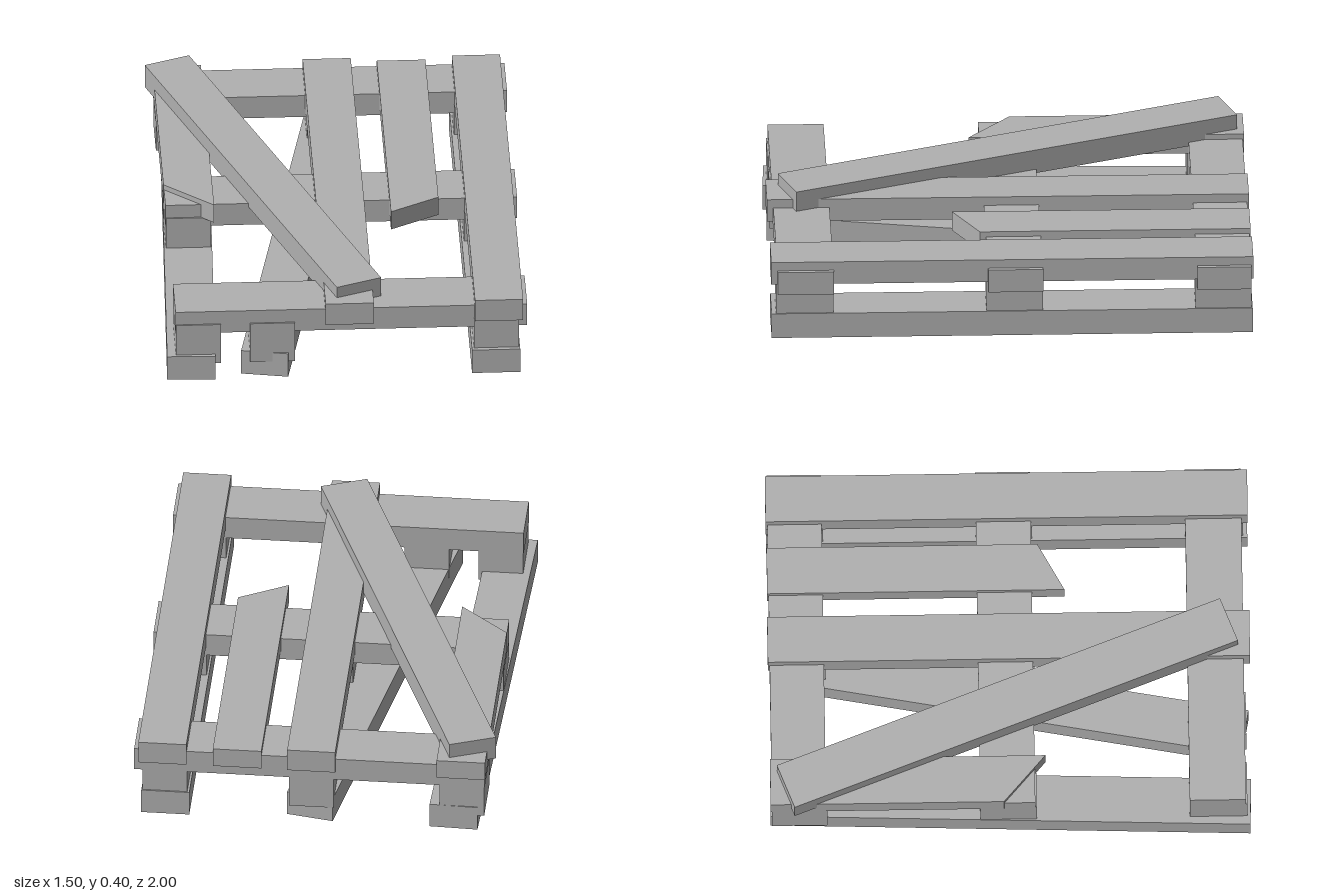
import * as THREE from 'three';

export function createModel() {
  const model = new THREE.Group();
  model.name = 'brokenPallet';
  const wood = new THREE.MeshStandardMaterial({ color: 0xb0b0b0 });
  wood.name = 'greyWood';

  // Box given by its centre in x and z, its bottom and top, and a turn about y
  const board = (name, x, z, width, length, bottom, top, turn = 0) => {
    const mesh = new THREE.Mesh(new THREE.BoxGeometry(width, top - bottom, length), wood);
    mesh.name = name;
    mesh.position.set(x, (bottom + top) / 2, z);
    mesh.rotation.y = turn;
    model.add(mesh);
  };

  // Snapped plank: starts at the back edge, ends in a slanted break
  const brokenPlank = (name, left, right, leftEnd, rightEnd, bottom, top) => {
    const shape = new THREE.Shape([
      new THREE.Vector2(left, -leftEnd),
      new THREE.Vector2(right, -rightEnd),
      new THREE.Vector2(right, 0.998),
      new THREE.Vector2(left, 0.998),
    ]);
    const geometry = new THREE.ExtrudeGeometry(shape, { depth: top - bottom, bevelEnabled: false });
    geometry.rotateX(-Math.PI / 2);
    const mesh = new THREE.Mesh(geometry, wood);
    mesh.name = name;
    mesh.position.y = bottom;
    model.add(mesh);
  };

  // Bottom skids, two of them knocked askew
  board('leftSkid', 0.62, 0, 0.2, 1.996, 0, 0.11);
  board('middleSkid', -0.16, 0, 0.197, 1.98, 0, 0.11, -0.183);
  board('rightSkid', -0.613, 0, 0.2, 1.99, 0, 0.11, -0.033);

  // Cross beams, each carried by three blocks; the front middle block has slipped
  const rows = [
    { name: 'back', z: -0.88, width: 0.225, middle: 0.012 },
    { name: 'centre', z: -0.014, width: 0.228, middle: 0.012 },
    { name: 'front', z: 0.857, width: 0.233, middle: -0.307 },
  ];
  for (const { name, z, width, middle } of rows) {
    board(name + 'Beam', 0.02, z, 1.46, width, 0.21, 0.312);
    for (const x of [-0.615, middle, 0.622]) {
      board(name + 'Block', x, z + 0.003, 0.186, width + 0.006, 0.068, 0.252);
    }
  }

  // Whole top planks
  board('leftTopPlank', 0.632, 0, 0.2, 2, 0.25, 0.35);
  board('middleTopPlank', 0.012, 0, 0.2, 2, 0.25, 0.35);

  // Snapped top planks
  brokenPlank('brokenLeftPlank', 0.22, 0.422, 0.235, 0.125, 0.25, 0.335);
  brokenPlank('brokenRightPlank', -0.712, -0.51, -0.03, 0.145, 0.25, 0.335);

  // Loose plank lying across the top
  board('loosePlank', -0.3, -0.01, 0.2, 1.98, 0.295, 0.4, 0.366);

  return model;
}
